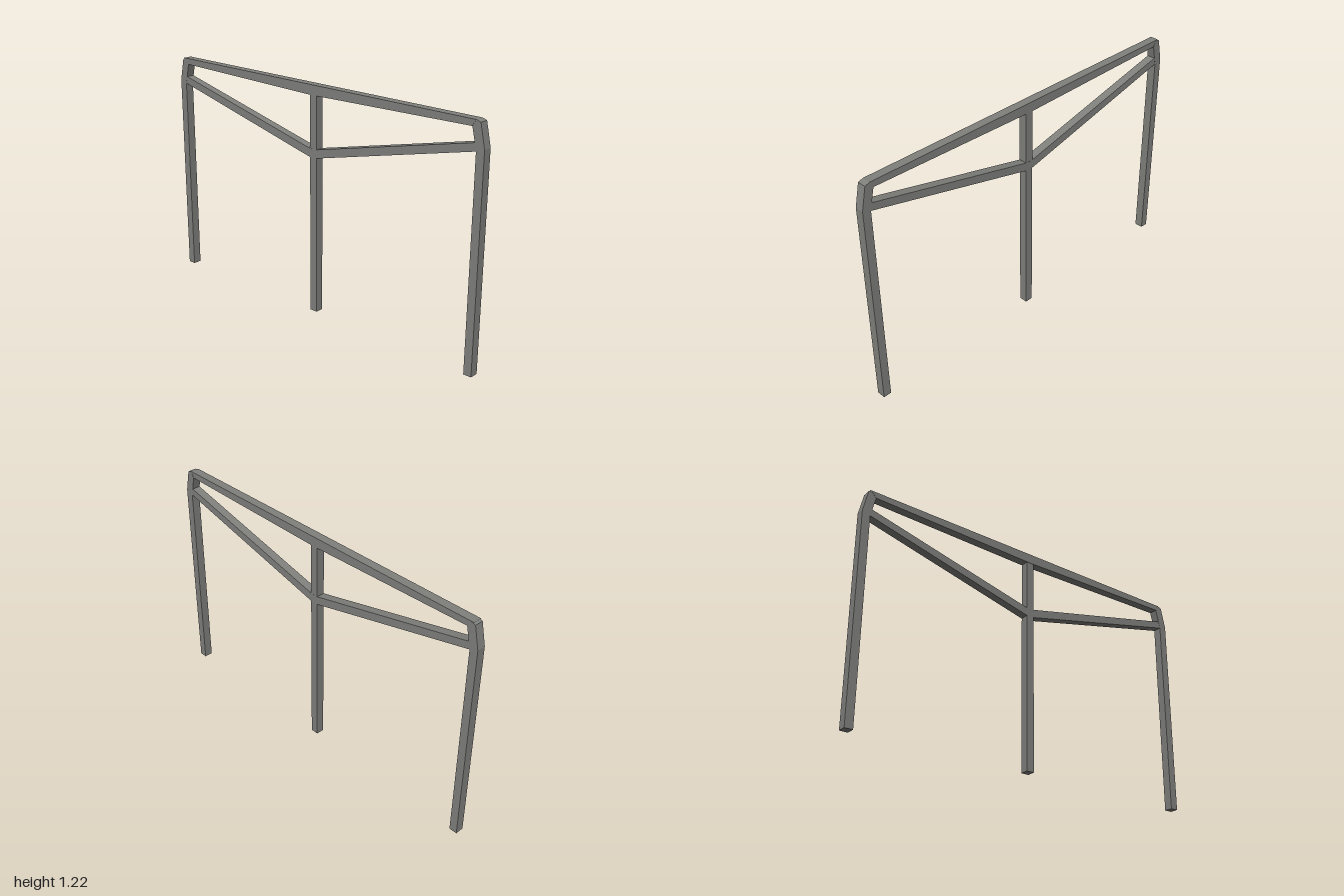
import * as THREE from 'three';

export function createModel() {
  const group = new THREE.Group();
  const steel = new THREE.MeshStandardMaterial({ color: 0x80807d });
  steel.name = 'greySteel';

  // Flat bar cut from a [z, y] outline, extruded across x
  function bar(name, outline, width = 0.046, x = 0.001) {
    const shape = new THREE.Shape(outline.map(([z, y]) => new THREE.Vector2(z, y)));
    const geometry = new THREE.ExtrudeGeometry(shape, { depth: width, bevelEnabled: false });
    geometry.translate(0, 0, -width / 2);
    geometry.rotateY(-Math.PI / 2);
    const mesh = new THREE.Mesh(geometry, steel);
    mesh.name = name;
    mesh.position.x = x;
    group.add(mesh);
  }

  // Parts repeated at the front and back ends
  for (const [end, s] of [['front', 1], ['back', -1]]) {
    const mirror = (points) => points.map(([z, y]) => [z * s, y]);
    // Upright post
    bar(end + 'Post', mirror([[0.957, 0], [1, 0], [1, 1.095], [0.957, 1.095]]));
    // Leaning top section joining the post to the rail
    bar(end + 'Shoulder', mirror([[0.957, 1.08], [1, 1.095], [0.974, 1.212], [0.95, 1.22], [0.932, 1.188]]));
    // Sloping brace down to the centre post
    bar(end + 'Brace', mirror([[0, 0.845], [0.96, 1.08], [0.96, 1.12], [0.02, 0.895], [0, 0.895]]), 0.045);
  }

  // Top rail, deeper toward the middle
  bar('topRail', [[0.95, 1.22], [0.932, 1.188], [0, 1.168], [-0.932, 1.188], [-0.965, 1.22]], 0.046, 0);

  // Centre post
  bar('centrePost', [[0.024, 0.01], [0.024, 1.19], [-0.019, 1.19], [-0.019, 0.01]], 0.044);

  return group;
}
